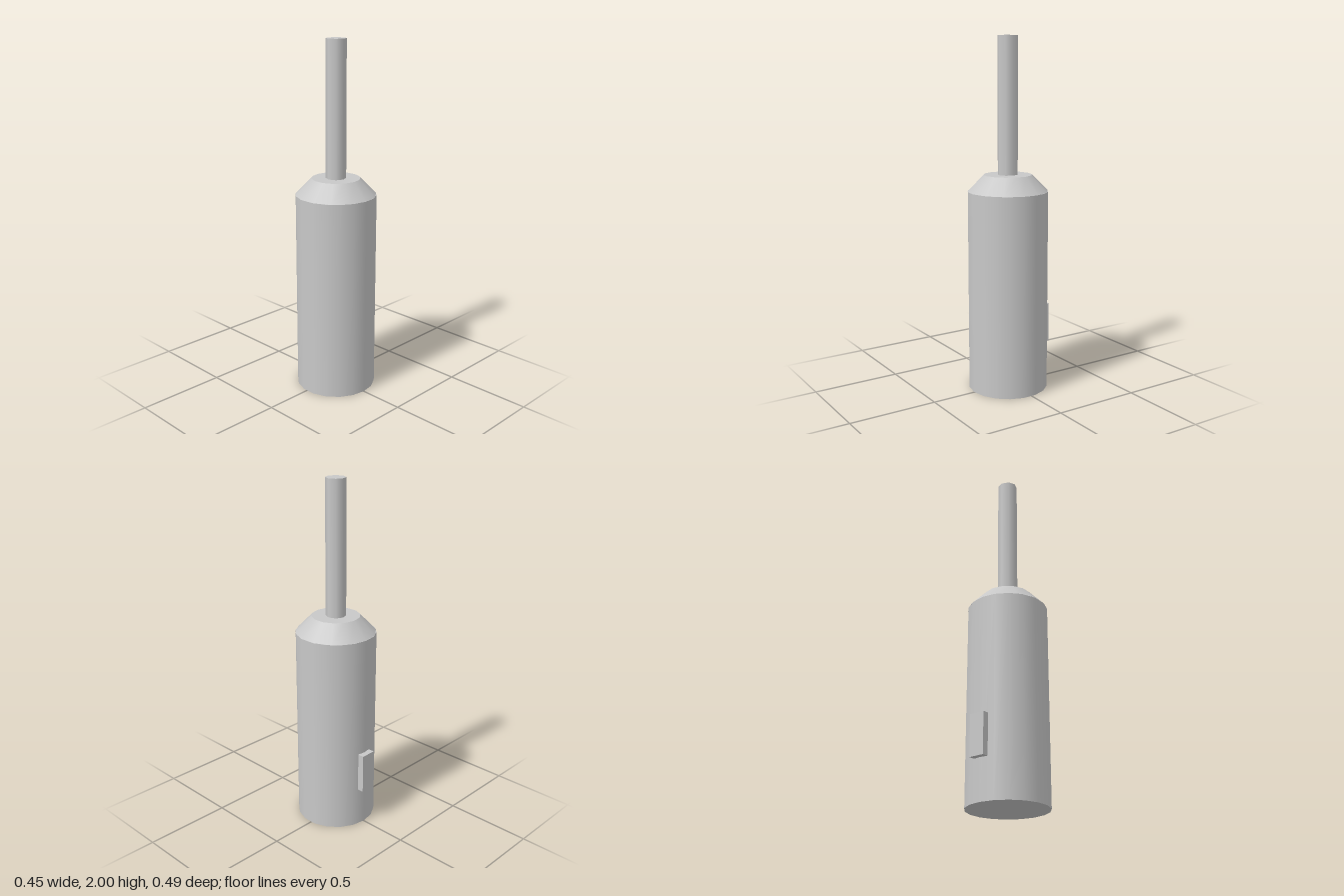
import * as THREE from 'three';

export function createModel() {
  const model = new THREE.Group();
  model.name = 'canister';
  const grey = new THREE.MeshStandardMaterial({ color: 0xc8c8c8 });
  grey.name = 'plain grey';
  const axisZ = 0.0135; // the round parts sit slightly forward of centre

  function addPart(name, geometry, y, z) {
    const mesh = new THREE.Mesh(geometry, grey);
    mesh.name = name;
    mesh.position.set(0, y, z);
    model.add(mesh);
  }

  // Round part standing between two heights
  function addRound(name, topRadius, bottomRadius, y0, y1, sides) {
    const geometry = new THREE.CylinderGeometry(topRadius, bottomRadius, y1 - y0, sides);
    addPart(name, geometry, (y0 + y1) / 2, axisZ);
  }

  addRound('body', 0.2275, 0.2275, 0, 1.145, 18);
  addRound('shoulder', 0.1375, 0.2275, 1.145, 1.238, 14);
  addRound('rod', 0.057, 0.057, 1.238, 2, 8);

  // Small raised block low on the back
  addPart('backBlock', new THREE.BoxGeometry(0.09, 0.23, 0.037), 0.345, -0.2265);

  return model;
}
